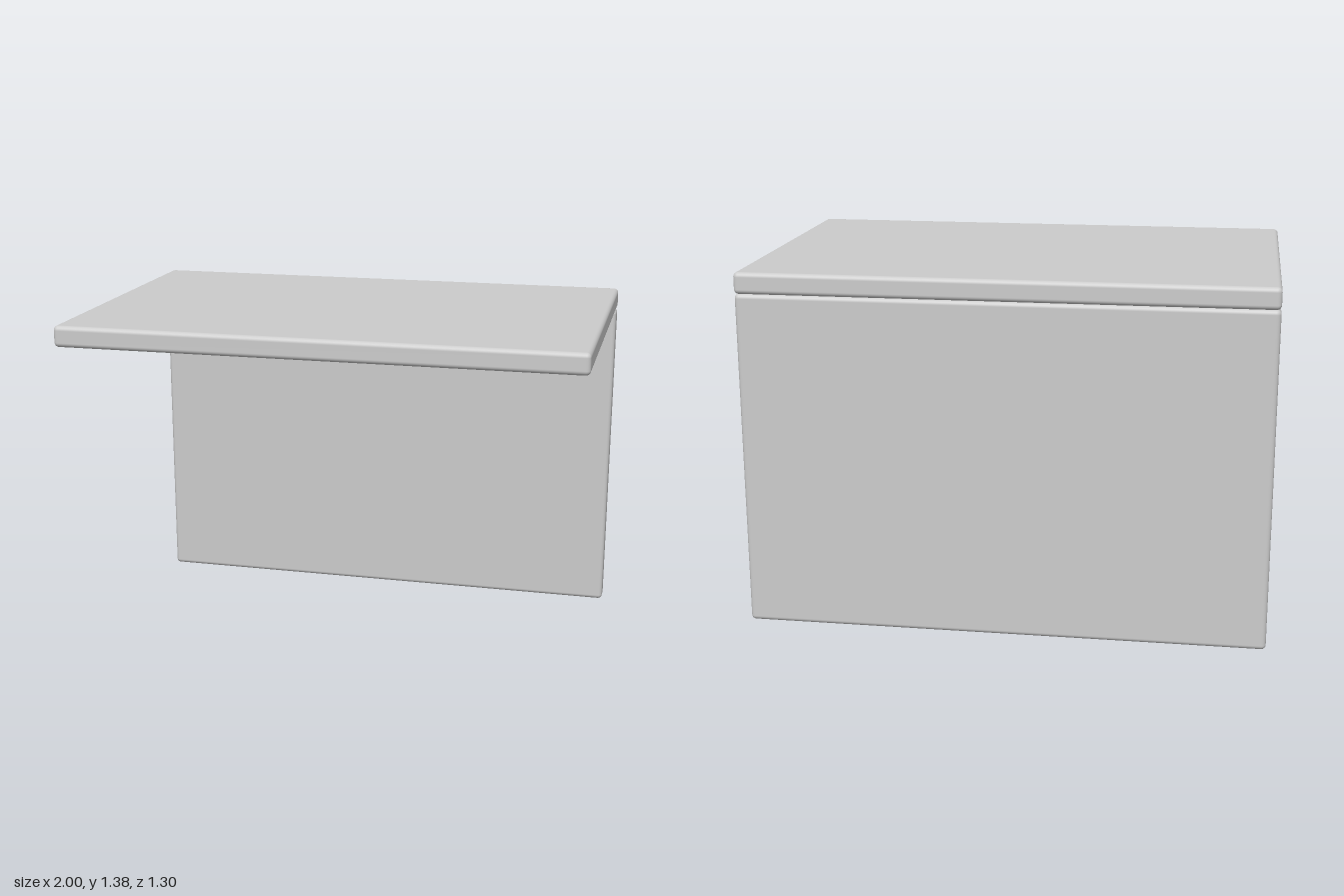
import * as THREE from 'three';
import { RoundedBoxGeometry } from 'three/addons/geometries/RoundedBoxGeometry.js';

const material = new THREE.MeshStandardMaterial({ color: 0xcccccc });

// A slab with softly rounded edges, given by its size and centre
function slab(name, size, centre) {
  const mesh = new THREE.Mesh(new RoundedBoxGeometry(...size, 4, 0.018), material);
  mesh.name = name;
  mesh.position.set(...centre);
  return mesh;
}

export function createModel() {
  const group = new THREE.Group();
  group.name = 'panelTable';

  // Horizontal top, overhanging forwards
  group.add(slab('tableTop', [1.995, 0.082, 1.3], [0, 1.34, 0]));

  // Upright panel under the rear edge
  group.add(slab('backPanel', [1.995, 1.3, 0.082], [0, 0.65, -0.605]));

  return group;
}
